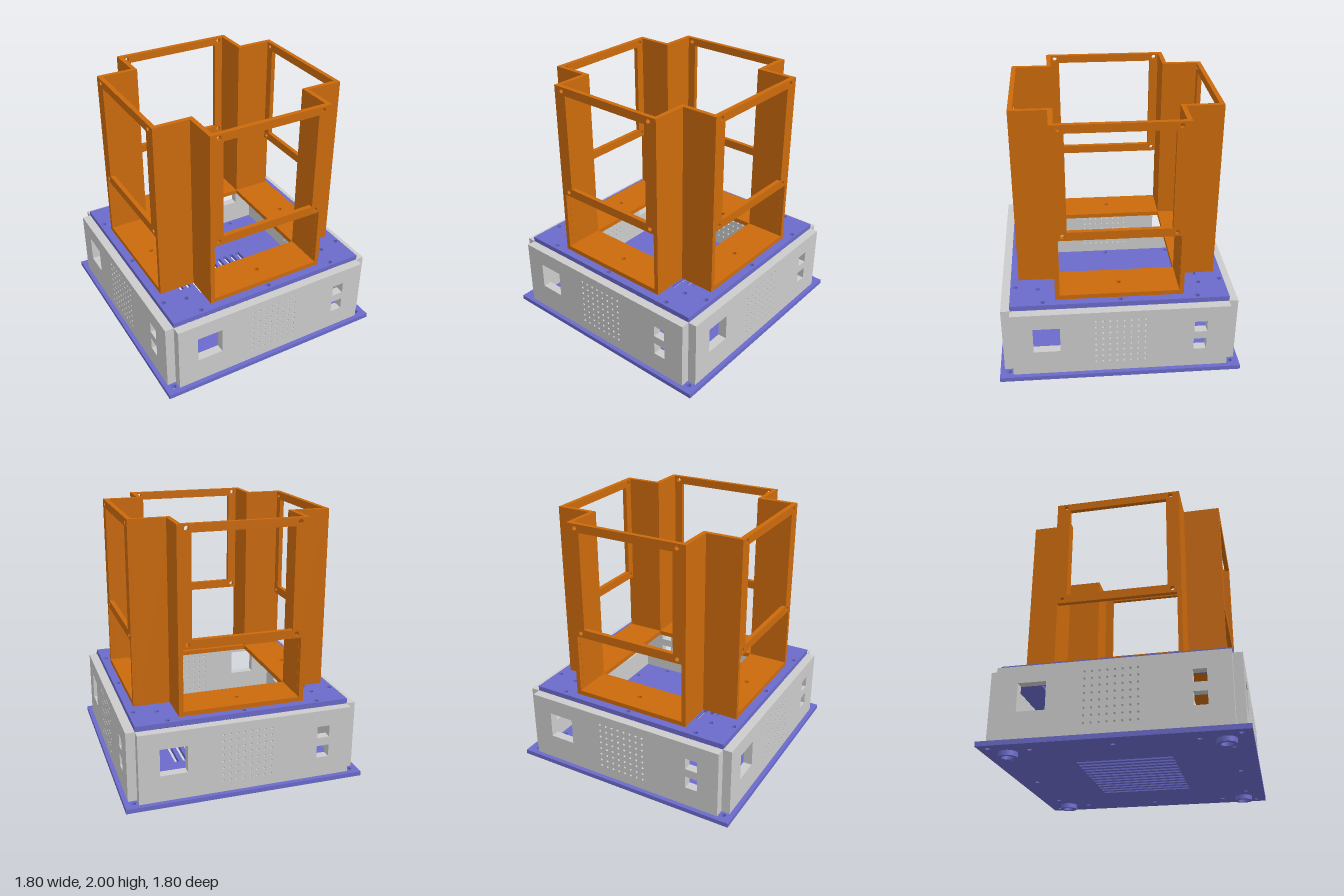
import * as THREE from 'three';

const blue = new THREE.MeshStandardMaterial({ color: 0x6b6bcb });
blue.name = 'plate blue';
const grey = new THREE.MeshStandardMaterial({ color: 0xcbcbcb });
grey.name = 'wall grey';
const orange = new THREE.MeshStandardMaterial({ color: 0xcb6a0c });
orange.name = 'tower orange';

const rectPoints = (x0, y0, x1, y1) =>
  [[x0, y0], [x1, y0], [x1, y1], [x0, y1]].map(([x, y]) => new THREE.Vector2(x, y));
const rectHole = (...r) => new THREE.Path(rectPoints(...r));
const roundHole = (x, y, r) => new THREE.Path().absarc(x, y, r, 0, Math.PI * 2, false);

// Plus-shaped outline: arms reach "reach" and are "half" wide to each side
function plusPoints(half, reach) {
  return [
    [reach, -half], [reach, half], [half, half], [half, reach], [-half, reach], [-half, half],
    [-reach, half], [-reach, -half], [-half, -half], [-half, -reach], [half, -reach], [half, -half],
  ].map(([x, y]) => new THREE.Vector2(x, y));
}

function extrude(name, points, holes, depth, material, segments = 8) {
  const shape = new THREE.Shape(points);
  shape.holes.push(...holes);
  const geo = new THREE.ExtrudeGeometry(shape, { depth, bevelEnabled: false, curveSegments: segments });
  const mesh = new THREE.Mesh(geo, material);
  mesh.name = name;
  return mesh;
}

// Horizontal plate resting at height y
function plate(name, points, holes, y, thickness, material) {
  const mesh = extrude(name, points, holes, thickness, material);
  mesh.geometry.rotateX(-Math.PI / 2);
  mesh.position.y = y;
  return mesh;
}

// Screw holes along the rim, shared by base and lid
function rimHoles() {
  const holes = [];
  for (const s of [-1, 1]) {
    for (const t of [-0.565, 0, 0.565]) {
      holes.push(roundHole(t, s * 0.765, 0.018), roundHole(s * 0.765, t, 0.018));
    }
  }
  return holes;
}

function cornerHoles(d) {
  const holes = [];
  for (const x of [-d, d]) for (const y of [-d, d]) holes.push(roundHole(x, y, 0.018));
  return holes;
}

function box(name, x0, y0, z0, x1, y1, z1, material) {
  const mesh = new THREE.Mesh(new THREE.BoxGeometry(x1 - x0, y1 - y0, z1 - z0), material);
  mesh.position.set((x0 + x1) / 2, (y0 + y1) / 2, (z0 + z1) / 2);
  mesh.name = name;
  return mesh;
}

// Casing wall with port windows and a grid of vent holes
function casingWall() {
  const holes = [
    rectHole(-0.645, 0.27, -0.445, 0.475),
    rectHole(0.54, 0.385, 0.635, 0.475),
    rectHole(0.54, 0.225, 0.635, 0.32),
  ];
  for (let i = 0; i < 8; i++) {
    for (let j = 0; j < 8; j++) {
      holes.push(roundHole((i - 3.5) * 0.052, 0.157 + j * 0.052, 0.009));
    }
  }
  const wall = extrude('casingWall', rectPoints(-0.8, 0.07, 0.8, 0.6), holes, 0.067, grey, 4);
  wall.position.z = 0.8;
  return wall;
}

// Tower face frame with a large upper and a lower opening
function towerFace() {
  const holes = [
    rectHole(-0.437, 0.675, 0.437, 1.135),
    rectHole(-0.37, 1.2, 0.37, 1.94),
  ];
  for (const x of [-0.403, 0.403]) for (const y of [1.167, 1.97]) holes.push(roundHole(x, y, 0.017));
  const face = extrude('towerFace', rectPoints(-0.47, 0.64, 0.47, 2), holes, 0.034, orange);
  face.position.z = 0.706;
  return face;
}

export function createModel() {
  const model = new THREE.Group();
  model.name = 'ventedCasingWithTower';

  // Base plate with ventilation slits
  const slits = [];
  for (let i = 0; i < 13; i++) {
    const x = -0.434 + i * 0.0672;
    slits.push(rectHole(x, -0.337, x + 0.034, 0.34));
  }
  model.add(plate('basePlate', rectPoints(-0.9, -0.9, 0.9, 0.9),
    [...slits, ...rimHoles(), ...cornerHoles(0.833)], 0.035, 0.034, blue));

  // Lid with plus-shaped opening
  model.add(plate('lid', rectPoints(-0.8, -0.8, 0.8, 0.8),
    [new THREE.Path(plusPoints(0.5, 0.6)), ...rimHoles(), ...cornerHoles(0.6)], 0.602, 0.038, blue));

  // Tower floor
  const floorHoles = [rectHole(-0.435, -0.435, 0.435, 0.435)];
  for (const s of [-0.6, 0.6]) floorHoles.push(roundHole(s, 0, 0.018), roundHole(0, s, 0.018));
  model.add(plate('towerFloor', plusPoints(0.4365, 0.706), floorHoles, 0.64, 0.035, orange));

  // Four identical sides, turned about the centre
  for (let i = 0; i < 4; i++) {
    const side = new THREE.Group();
    side.name = 'side' + (i + 1);
    side.rotation.y = i * Math.PI / 2;
    side.add(casingWall(), towerFace());

    // Inward corner of the tower
    side.add(box('cornerWallFront', 0.436, 0.64, 0.436, 0.47, 2, 0.706, orange));
    side.add(box('cornerWallSide', 0.47, 0.64, 0.436, 0.706, 2, 0.47, orange));

    // Hollow round foot
    const foot = plate('foot', new THREE.Path().absarc(0, 0, 0.067, 0, Math.PI * 2, false).getPoints(24),
      [roundHole(0, 0, 0.042)], 0, 0.035, blue);
    foot.position.set(0.73, 0, 0.73);
    side.add(foot);
    model.add(side);
  }
  return model;
}
